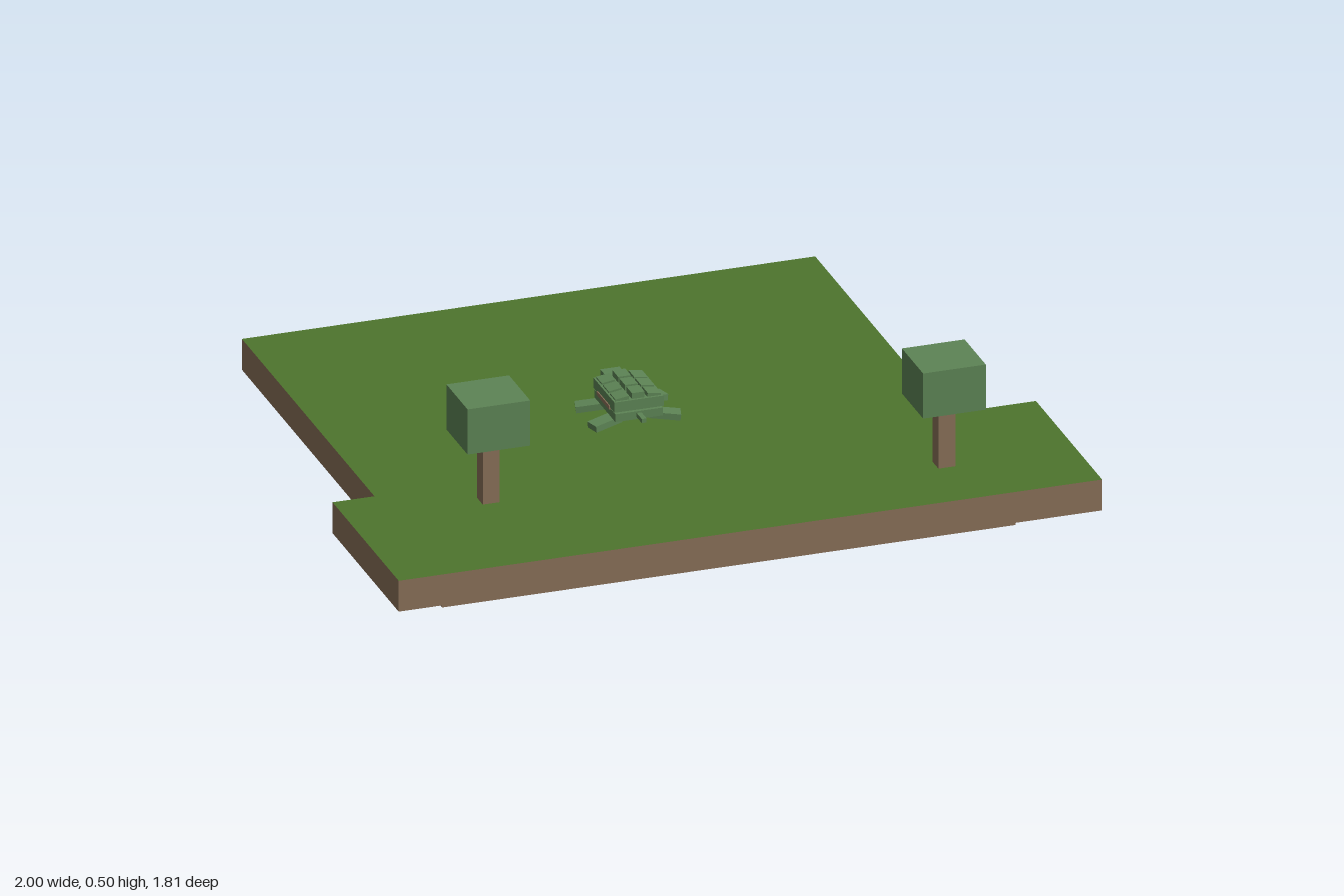
import * as THREE from 'three';

const mat = (name, color) => {
  const m = new THREE.MeshStandardMaterial({ color });
  m.name = name;
  return m;
};

export function createModel() {
  const grass = mat('grass', 0x4e752d);
  const earth = mat('earth', 0x886f57);
  const leaf = mat('leaf green', 0x5d8455);

  const model = new THREE.Group();
  model.name = 'turtleIsland';

  const box = (parent, name, material, [w, h, d], [x, y, z], [rx, ry, rz] = [0, 0, 0]) => {
    const mesh = new THREE.Mesh(new THREE.BoxGeometry(w, h, d), material);
    mesh.name = name;
    mesh.position.set(x, y, z);
    mesh.rotation.set(rx, ry, rz);
    parent.add(mesh);
    return mesh;
  };

  // Two earth terraces with grass on the top faces
  const terrain = [earth, earth, grass, earth, earth, earth];
  box(model, 'lowerTerrace', terrain, [1.63, 0.091, 1.635], [0, 0.0455, -0.0885]);
  box(model, 'upperTerrace', terrain, [2, 0.091, 0.54], [0, 0.1365, 0.635]);

  // Trees
  for (const [x, z] of [[-0.6, 0.488], [0.632, 0.67]]) {
    const tree = new THREE.Group();
    tree.name = 'tree';
    tree.position.set(x, 0.182, z);
    box(tree, 'trunk', earth, [0.048, 0.19, 0.048], [0, 0.095, 0]);
    box(tree, 'foliage', leaf, [0.178, 0.133, 0.173], [0, 0.2505, 0]);
    model.add(tree);
  }

  // Turtle, facing the back of the lower terrace
  const turtle = new THREE.Group();
  turtle.name = 'turtle';
  model.add(turtle);
  box(turtle, 'body', earth, [0.146, 0.012, 0.1], [0, 0.149, -0.09]);
  box(turtle, 'lowerShell', leaf, [0.135, 0.023, 0.172], [0, 0.1325, -0.089]);
  box(turtle, 'upperShell', leaf, [0.14, 0.03, 0.172], [0, 0.164, -0.089]);
  box(turtle, 'head', leaf, [0.055, 0.042, 0.062], [0, 0.148, -0.21]);
  box(turtle, 'mouth', earth, [0.036, 0.012, 0.006], [0, 0.143, -0.242]);
  box(turtle, 'tail', leaf, [0.014, 0.012, 0.045], [0, 0.133, 0.016]);

  // Three rows of raised shell plates
  for (const z of [-0.145, -0.089, -0.033]) {
    box(turtle, 'centrePlate', leaf, [0.036, 0.018, 0.046], [0, 0.187, z]);
    for (const s of [-1, 1])
      box(turtle, 'sidePlate', leaf, [0.038, 0.014, 0.046], [s * 0.045, 0.18, z], [0, 0, -s * 0.15]);
  }

  // Splayed legs
  for (const s of [-1, 1])
    for (const [z, splay] of [[-0.153, 1], [-0.038, -1]])
      box(turtle, 'leg', leaf, [0.085, 0.018, 0.042], [s * 0.085, 0.11, z], [0, s * splay * 0.27, -s * 0.12]);

  return model;
}
